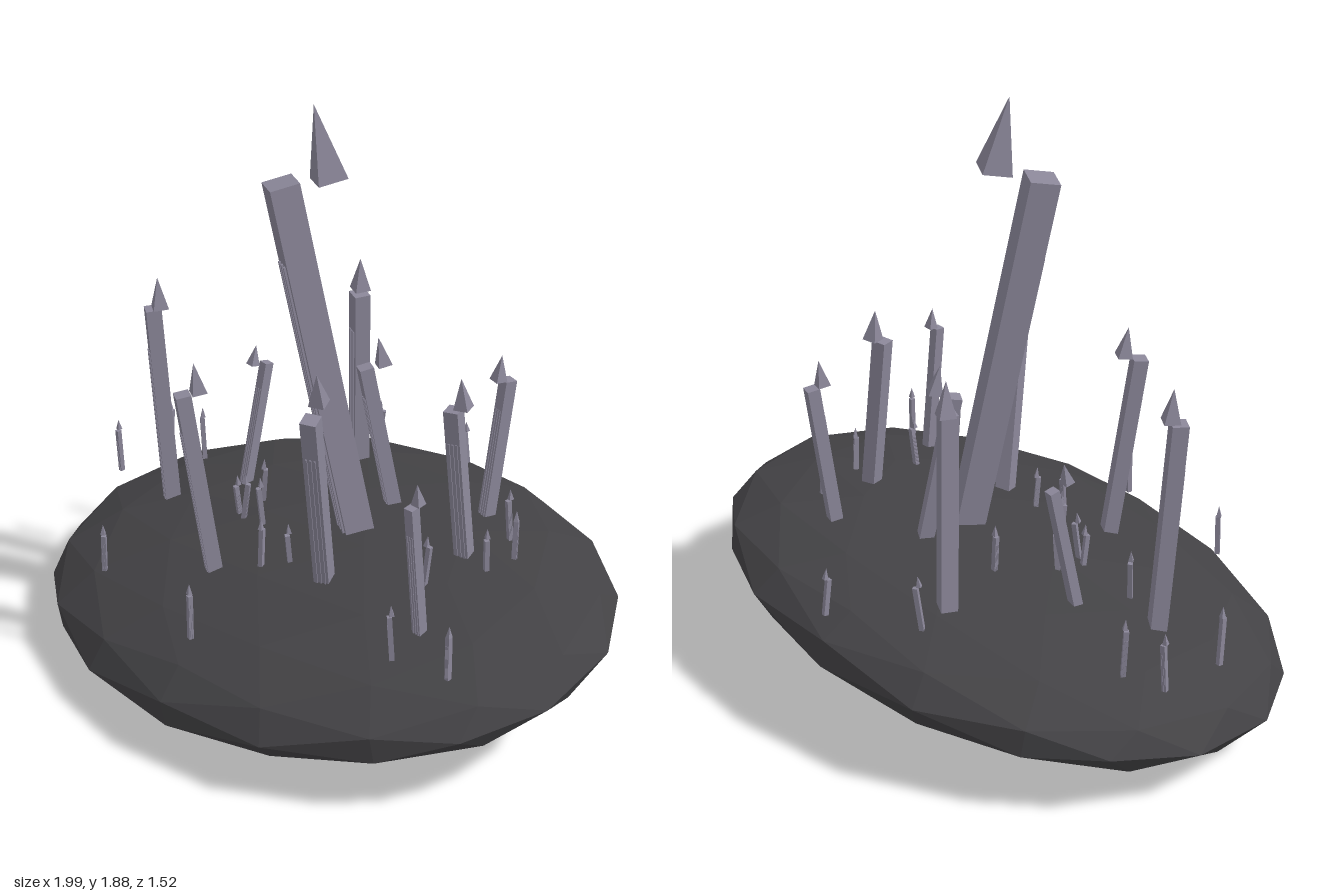
import * as THREE from 'three';

const UP = new THREE.Vector3(0, 1, 0);

export function createModel() {
  const model = new THREE.Group();
  const rock = new THREE.MeshStandardMaterial({ color: 0x434245, flatShading: true });
  rock.name = 'dark rock';
  const crystal = new THREE.MeshStandardMaterial({ color: 0x8b8799, flatShading: true });
  crystal.name = 'grey crystal';

  const add = (parent, name, geometry, material) => {
    const mesh = new THREE.Mesh(geometry, material);
    mesh.name = name;
    parent.add(mesh);
    return mesh;
  };

  // Flattened, faceted boulder, turned a little and tipped toward the front left
  const boulder = new THREE.IcosahedronGeometry(1, 2);
  boulder.scale(1.007, 0.222, 0.765).rotateY(0.18).rotateZ(0.07).rotateX(0.13).translate(0, 0.25, 0);
  add(model, 'boulder', boulder, rock);

  // Height of the boulder's upper surface
  const ground = (x, z) =>
    0.25 + 0.07 * x - 0.13 * z + 0.22 * Math.sqrt(Math.max(0, 1 - x * x - (z * z) / 0.59));

  // Leaning square shaft with raised ridges on its front; the tip floats over the shaft's centre
  function addSpire(name, x, z, bottom, top, width, leanX, leanZ, yaw, tipRatio = 2.1) {
    const spire = new THREE.Group();
    spire.name = name;
    model.add(spire);
    const height = top - bottom;
    const axis = new THREE.Vector3(2 * leanX, height, 2 * leanZ).normalize();
    const turn = new THREE.Quaternion().setFromUnitVectors(UP, axis)
      .multiply(new THREE.Quaternion().setFromAxisAngle(UP, yaw));

    const shaft = add(spire, 'shaft', new THREE.BoxGeometry(width, height, width), crystal);
    shaft.position.set(x, (bottom + top) / 2, z);
    shaft.quaternion.copy(turn);

    for (const side of [-1, 0, 1]) {
      const ridge = add(shaft, 'ridge',
        new THREE.BoxGeometry(width * 0.12, height * 0.8, width * 0.1), crystal);
      ridge.position.set(side * width * 0.27, -height * 0.1, width * 0.52);
    }

    const tipHeight = width * tipRatio;
    const tip = add(spire, 'tip',
      new THREE.ConeGeometry(width * 0.7, tipHeight, 4).rotateY(Math.PI / 4), crystal);
    tip.position.set(x, top + tipHeight / 2 + 0.003, z);
    tip.quaternion.copy(turn);
  }

  // Central spire
  addSpire('centralSpire', 0, 0.01, 0.41, 1.65, 0.092, -0.08, 0.09, -0.38, 2.5);

  // Medium spires: x, z, top, width, lean x, lean z, yaw
  const medium = [
    [-0.62, 0.17, 1.05, 0.05, -0.015, 0.015, -0.45],
    [-0.44, -0.07, 0.84, 0.032, 0, -0.05, 0],
    [-0.27, -0.37, 1.08, 0.052, 0.015, 0.015, -0.3],
    [-0.15, 0.37, 1.01, 0.047, -0.025, 0.035, -0.4],
    [0.02, -0.21, 0.98, 0.045, -0.03, 0.04, -0.4],
    [0.24, 0.22, 1.08, 0.05, 0.04, 0.06, 0.5],
    [0.30, -0.45, 0.96, 0.04, 0.006, -0.03, -0.15],
    [0.41, -0.19, 1.0, 0.047, -0.015, 0.02, 0.4],
    [0.59, 0.14, 0.88, 0.032, -0.003, 0.02, 0.1],
  ];
  for (const [x, z, top, width, lx, lz, yaw] of medium) {
    addSpire('mediumSpire', x, z, ground(x, z) - 0.035, top, width, lx, lz, yaw);
  }

  // Small shards scattered around: x, z
  const shards = [
    [-0.07, -0.67], [-0.31, -0.5], [0.45, -0.37], [0.53, -0.32], [0.53, -0.2],
    [-0.87, -0.03], [-0.75, -0.08], [-0.21, -0.16], [-0.28, 0.02], [-0.86, 0.19],
    [-0.48, 0.15], [-0.29, 0.12], [-0.25, 0.12], [-0.17, 0.12], [0, 0.25],
    [0.06, 0.19], [0.46, -0.02], [0.61, 0.25], [0.77, 0.17], [-0.38, 0.58], [0.09, 0.59],
  ];
  shards.forEach(([x, z], i) => {
    const bottom = Math.max(0.35, ground(x, z) - 0.02);
    const top = bottom + 0.12 + 0.04 * Math.abs(Math.sin(i * 2.3));
    addSpire('shard', x, z, bottom, top, 0.015,
      0.005 * Math.sin(i * 1.7), 0.008 * Math.cos(i * 2.9), i * 0.7, 2.4);
  });

  return model;
}
